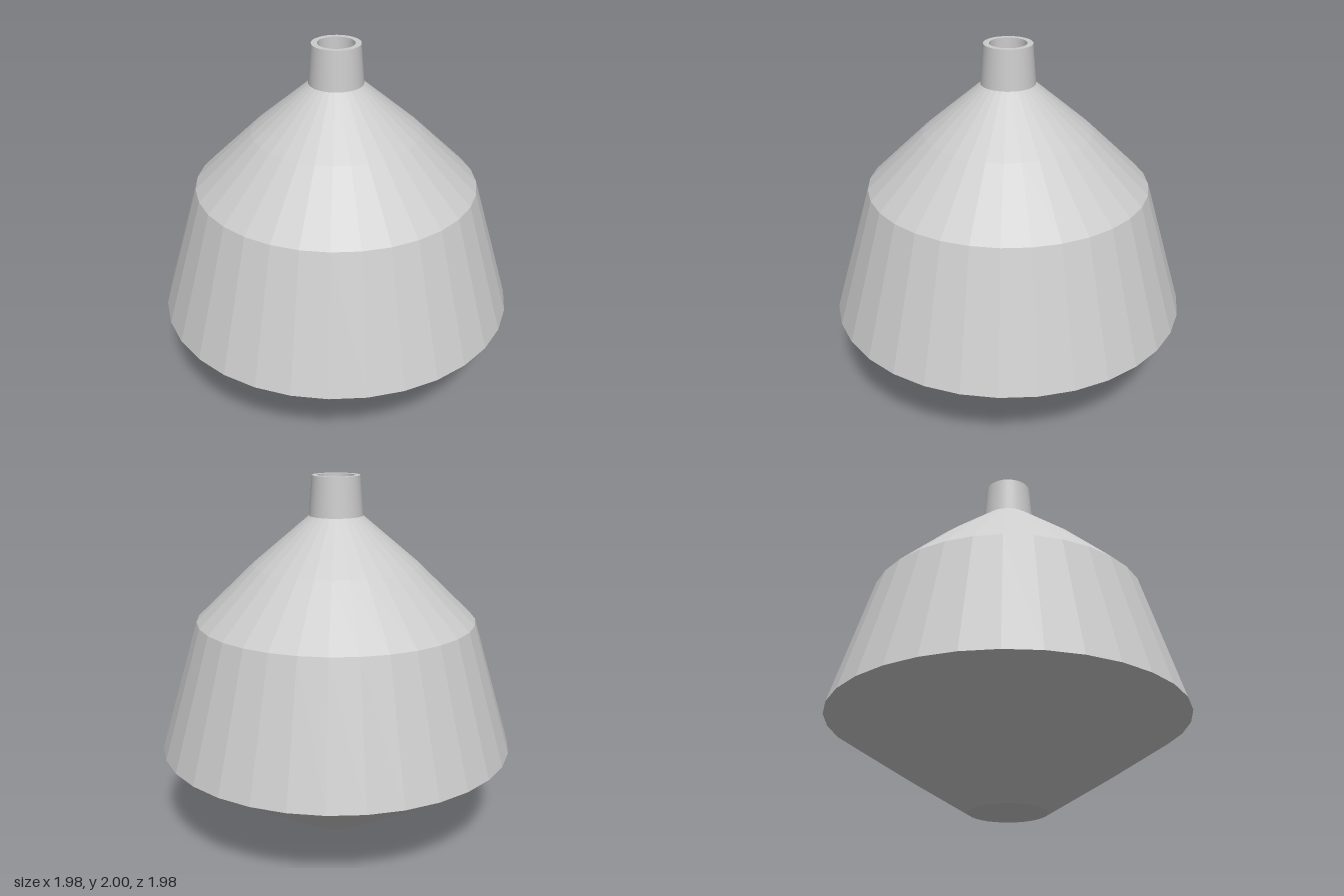
import * as THREE from 'three';

const SIDES = 32;

// Turned part from [radius, height] points, listed bottom to top on the outside
function turned(name, points, material) {
  const profile = points.map(([r, y]) => new THREE.Vector2(r, y));
  const mesh = new THREE.Mesh(new THREE.LatheGeometry(profile, SIDES), material);
  mesh.name = name;
  return mesh;
}

export function createModel() {
  const model = new THREE.Group();
  model.name = 'vessel';
  const faceted = new THREE.MeshStandardMaterial({ color: 0xcccccc, flatShading: true });
  const smooth = new THREE.MeshStandardMaterial({ color: 0xcccccc });

  // Faceted body: flat foot, flared base, tapered wall and conical shoulder
  model.add(turned('base', [[0, 0], [0.21, 0], [0.6, 0.24], [0.99, 0.49]], faceted));
  model.add(turned('wall', [[0.99, 0.49], [0.775, 1.215]], faceted));
  model.add(turned('shoulder', [[0.775, 1.215], [0.46, 1.52], [0.147, 1.785]], faceted));

  // Round neck with a flat rim and a bore closed at the bottom
  const neck = new THREE.Group();
  neck.name = 'neck';
  neck.add(turned('neckWall', [[0.148, 1.785], [0.131, 2]], smooth));
  neck.add(turned('rim', [[0.131, 2], [0.1, 2]], smooth));
  neck.add(turned('bore', [[0.1, 2], [0.1, 1.785]], smooth));
  neck.add(turned('boreFloor', [[0.1, 1.785], [0, 1.785]], smooth));
  model.add(neck);

  return model;
}
